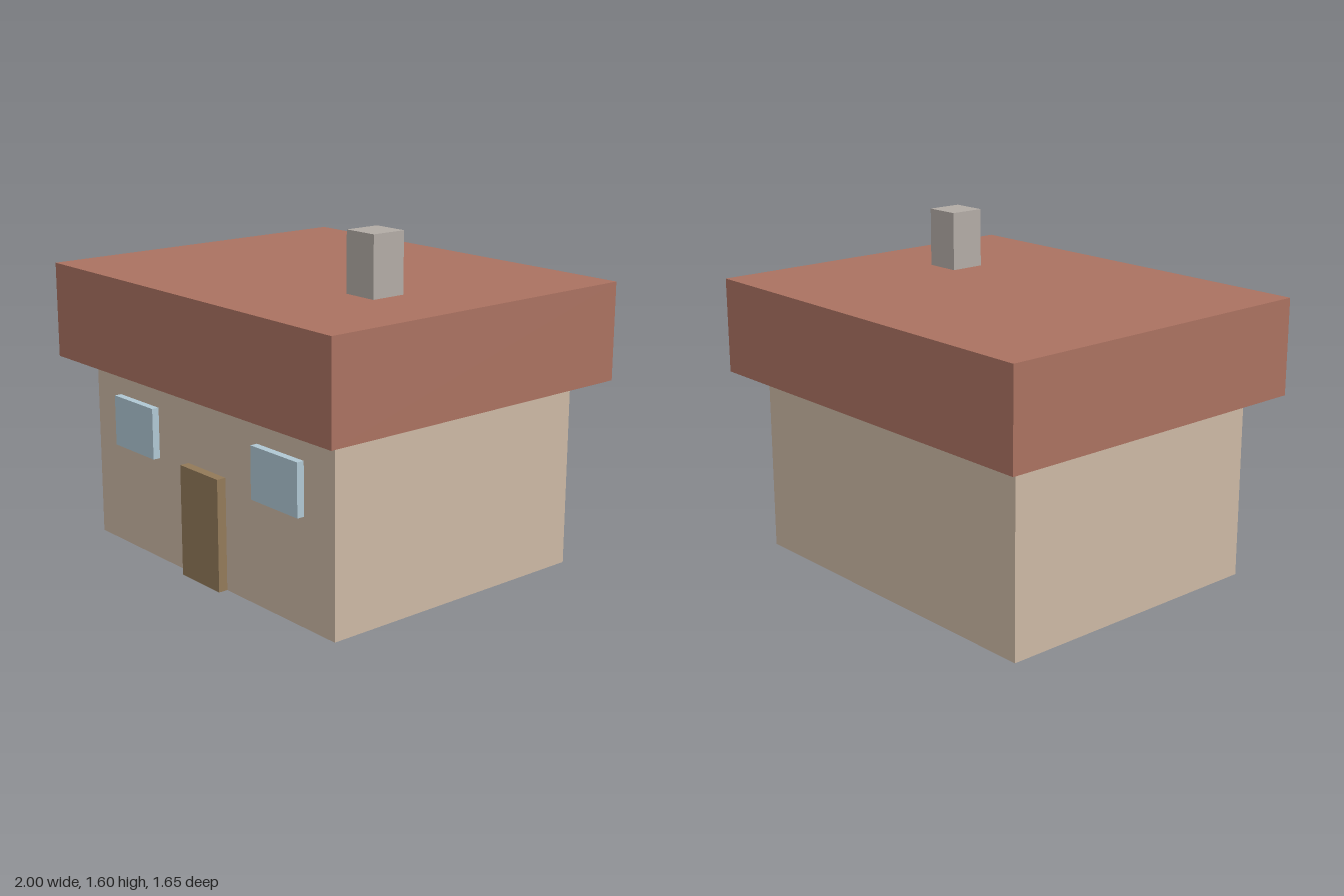
import * as THREE from 'three';

// Box given by its extents along each axis
function block(name, color, [x0, x1], [y0, y1], [z0, z1]) {
  const mesh = new THREE.Mesh(
    new THREE.BoxGeometry(x1 - x0, y1 - y0, z1 - z0),
    new THREE.MeshStandardMaterial({ color })
  );
  mesh.position.set((x0 + x1) / 2, (y0 + y1) / 2, (z0 + z1) / 2);
  mesh.name = name;
  return mesh;
}

export function createModel() {
  const house = new THREE.Group();
  house.name = 'house';

  // Main body and the overhanging slab roof
  house.add(block('walls', 0xcdb9a5, [-0.87, 0.87], [0, 0.875], [-0.695, 0.695]));
  house.add(block('roof', 0xab7261, [-1, 1], [0.875, 1.325], [-0.825, 0.825]));

  // Chimney, sunk slightly into the roof
  house.add(block('chimney', 0xb3aca6, [0.435, 0.605], [1.28, 1.6], [0.09, 0.26]));

  // Front door
  house.add(block('door', 0x937a59, [-0.138, 0.138], [0, 0.522], [0.67, 0.74]));

  // Pair of front windows
  for (const [name, x] of [['leftWindow', 0.52], ['rightWindow', -0.52]]) {
    house.add(block(name, 0xb0c8d4, [x - 0.155, x + 0.155], [0.49, 0.73], [0.67, 0.73]));
  }

  return house;
}
